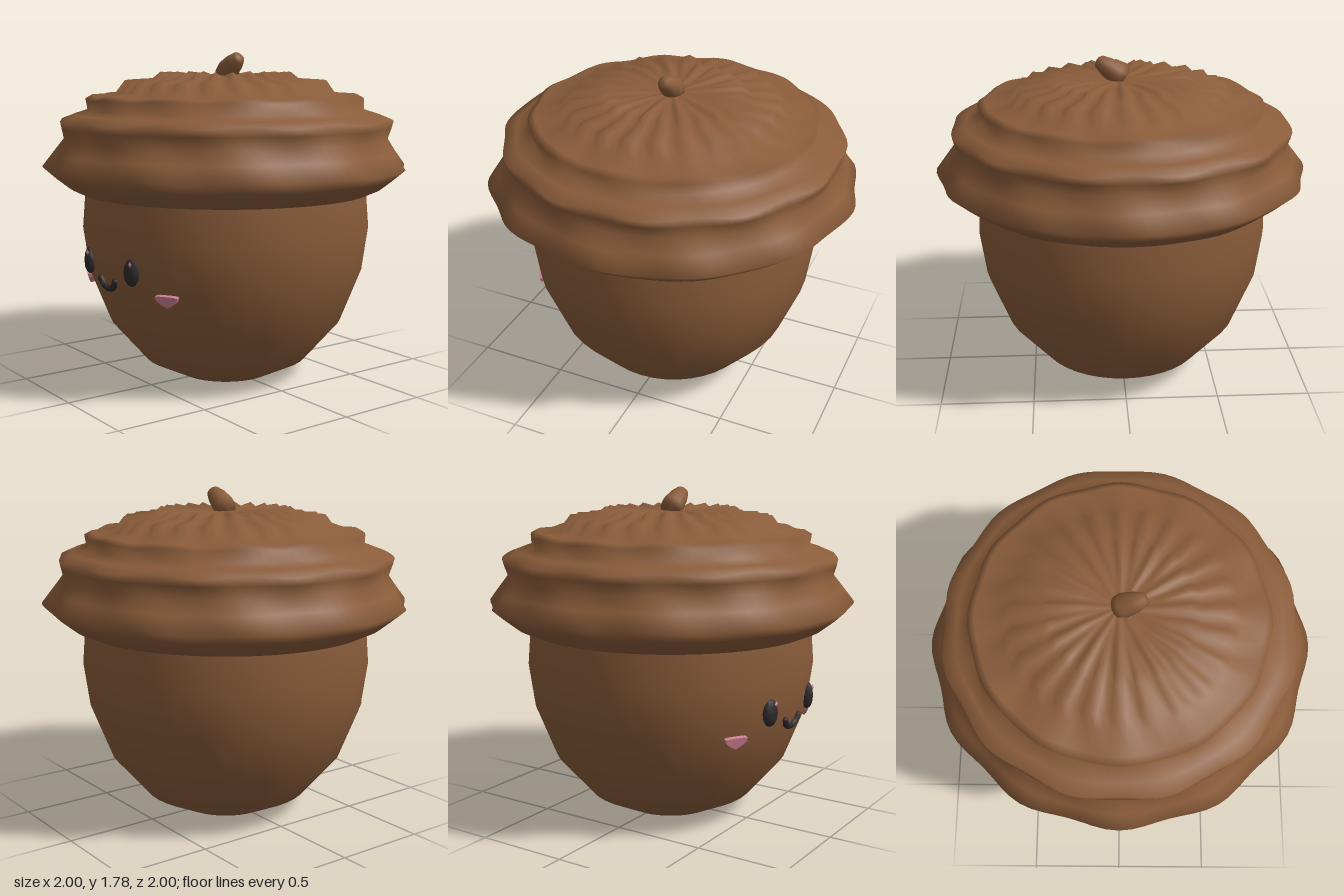
import * as THREE from 'three';
import { mergeVertices } from 'three/addons/utils/BufferGeometryUtils.js';

const mat = (name, color, side = THREE.FrontSide) => {
  const m = new THREE.MeshStandardMaterial({ color, side });
  m.name = name;
  return m;
};

export function createModel() {
  const brown = mat('acorn brown', 0x8a5c3a, THREE.DoubleSide);
  const dark = mat('dark charcoal', 0x2e2a2b);
  const pink = mat('blush pink', 0xcc8092);
  const model = new THREE.Group();
  model.name = 'acorn';

  const add = (name, geometry, material, x = 0, y = 0, z = 0) => {
    const mesh = new THREE.Mesh(geometry, material);
    mesh.name = name;
    mesh.position.set(x, y, z);
    model.add(mesh);
    return mesh;
  };
  const points = (list) => list.map(([x, y]) => new THREE.Vector2(x, y));

  // Nut: rounded cup on a flat base
  const nut = [[0, 0], [0.26, 0.004], [0.455, 0.1], [0.645, 0.32], [0.755, 0.6], [0.788, 0.84], [0.77, 1.06]];
  add('nut', new THREE.LatheGeometry(points(nut), 40), brown);

  // Cap rings: radius, height, radial scallop, vertical scallop, lobe count
  const rings = [
    [0.7, 1.03, 0, 0, 12],
    [0.79, 1.028, 0, 0, 12],
    [0.86, 1.06, 0.004, 0, 12],
    [0.93, 1.115, 0.008, 0.004, 12],
    [0.985, 1.165, 0.015, 0.006, 12],
    [0.93, 1.25, 0.008, 0, 12],
    [0.882, 1.32, 0, 0, 12],
    [0.895, 1.38, -0.008, 0, 12],
    [0.9, 1.422, -0.012, 0.006, 12],
    [0.83, 1.45, -0.006, 0, 12],
    [0.752, 1.475, 0, 0, 12],
    [0.757, 1.53, 0.005, 0.005, 12],
    [0.72, 1.55, 0.005, 0.006, 12],
    [0.6, 1.56, 0, 0.004, 12],
    [0.54, 1.62, 0.008, 0.012, 24],
    [0.4, 1.635, 0, 0.006, 24],
    [0.35, 1.662, 0.006, 0.014, 24],
    [0.2, 1.658, 0, 0.008, 12],
    [0.07, 1.655, 0, 0, 12],
    [0, 1.655, 0, 0, 12],
  ];
  const segments = 96;
  let cap = new THREE.LatheGeometry(points(rings), segments);
  const pos = cap.attributes.position;
  for (let i = 0; i <= segments; i++) {
    const a = ((i % segments) / segments) * Math.PI * 2;
    rings.forEach(([r, y, dr, dy, lobes], j) => {
      const wave = Math.cos(a * lobes);
      const radius = r + dr * wave;
      pos.setXYZ(i * rings.length + j, radius * Math.sin(a), y + dy * wave, radius * Math.cos(a));
    });
  }
  cap.deleteAttribute('uv');
  cap.deleteAttribute('normal');
  cap = mergeVertices(cap, 1e-5);
  cap.computeVertexNormals();
  add('cap', cap, brown);

  // Stem: stubby tapered peg leaning to the model's left
  const peg = [[0, -0.02], [0.055, -0.01], [0.062, 0.03], [0.052, 0.1], [0.036, 0.148], [0.018, 0.16], [0, 0.162]];
  const stem = add('stem', new THREE.LatheGeometry(points(peg), 12), brown, -0.005, 1.665, 0);
  stem.rotation.z = -0.95;

  for (const side of [-1, 1]) {
    const label = side > 0 ? 'left' : 'right';

    // Eye: faceted upright bead
    const eye = add(label + 'Eye', new THREE.SphereGeometry(1, 8, 6), dark, side * 0.212, 0.683, 0.742);
    eye.scale.set(0.05, 0.073, 0.032);
    eye.rotation.y = side * 0.27;

    // Catchlight, on the same side of both eyes
    const glint = add(label + 'Catchlight', new THREE.OctahedronGeometry(1), pink, side * 0.212 + 0.018, 0.728, side > 0 ? 0.762 : 0.768);
    glint.scale.set(0.017, 0.017, 0.008);

    // Cheek: flat-topped half oval resting on the nut
    const shape = new THREE.Shape(points([
      [-0.062, 0.028], [-0.055, 0.005], [-0.03, -0.014], [0, -0.032], [0.03, -0.014],
      [0.055, 0.005], [0.062, 0.028], [0.04, 0.033], [-0.04, 0.033]]));
    const cheek = add(label + 'Cheek', new THREE.ExtrudeGeometry(shape, { depth: 0.025, bevelEnabled: false }),
      pink, side * 0.378, 0.555, 0.631);
    cheek.rotation.order = 'YXZ';
    cheek.rotation.set(0.25, side * 0.54, 0);
  }

  // Smile: small curved tube with rounded ends
  const smile = new THREE.CatmullRomCurve3([
    [-0.072, 0.614, 0.757], [-0.045, 0.58, 0.751], [0, 0.566, 0.748], [0.045, 0.58, 0.751], [0.072, 0.614, 0.757],
  ].map((p) => new THREE.Vector3(...p)));
  add('smile', new THREE.TubeGeometry(smile, 12, 0.017, 8), dark);
  for (const t of [0, 1]) {
    add('smileEnd', new THREE.SphereGeometry(0.017, 8, 6), dark, ...smile.getPoint(t).toArray());
  }

  return model;
}
